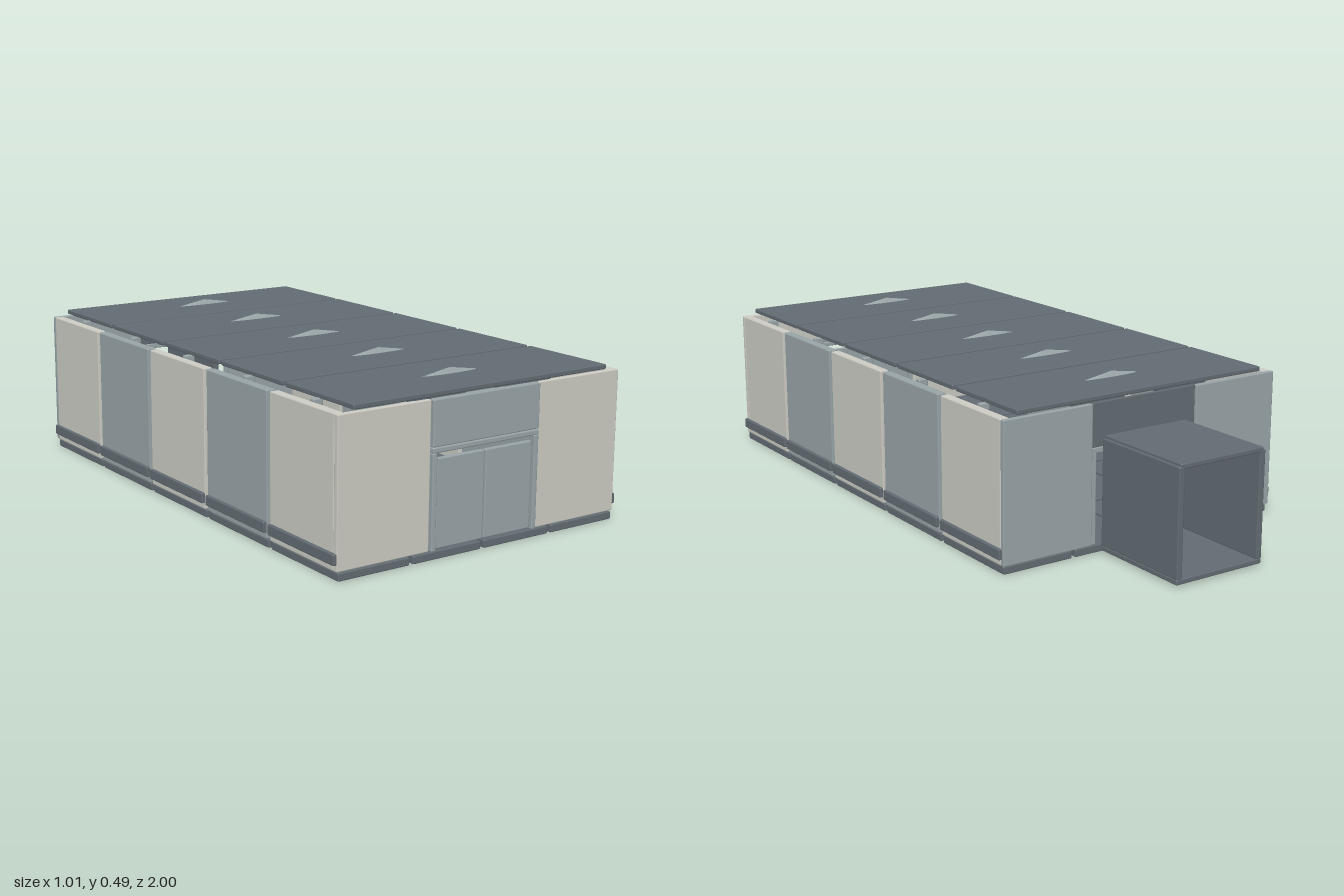
import * as THREE from 'three';
import { RoundedBoxGeometry } from 'three/addons/geometries/RoundedBoxGeometry.js';

const mat = (name, color) => {
  const m = new THREE.MeshStandardMaterial({ color });
  m.name = name;
  return m;
};

export function createModel() {
  const root = new THREE.Group();
  root.name = 'modularHall';
  const cream = mat('cream panel', 0xcbcbc3);
  const grey = mat('blue grey panel', 0x98a3a6);
  const slate = mat('dark slate', 0x626b72);

  // Softly bevelled block given by its min and max on each axis
  const block = (parent, name, material, [x0, x1], [y0, y1], [z0, z1]) => {
    const w = x1 - x0, h = y1 - y0, d = z1 - z0;
    const r = Math.min(0.004, 0.25 * Math.min(w, h, d));
    const mesh = new THREE.Mesh(new RoundedBoxGeometry(w, h, d, 1, r), material);
    mesh.position.set((x0 + x1) / 2, (y0 + y1) / 2, (z0 + z1) / 2);
    mesh.name = name;
    parent.add(mesh);
    return mesh;
  };
  // Same block on both sides of the centre line
  const pair = (parent, name, material, [x0, x1], y, z) => {
    block(parent, name + 'Left', material, [x0, x1], y, z);
    block(parent, name + 'Right', material, [-x1, -x0], y, z);
  };

  // Five repeating bays, front to back
  const pitch = 0.332, half = 0.159;
  for (let i = 0; i < 5; i++) {
    const bay = new THREE.Group();
    bay.name = 'bay' + (i + 1);
    root.add(bay);
    const c = 0.832 - i * pitch;
    const z = [c - half, c + half];
    const wallZ = [i === 4 ? -0.646 : z[0], i === 0 ? 0.974 : z[1]];

    // Floor tiles
    for (let t = 0; t < 4; t++) {
      const x = (t - 1.5) * 0.248;
      block(bay, 'floorTile', slate, [x - 0.118, x + 0.118], [0, 0.024], z);
    }
    // Side walls in alternating colours, with outer skirting rails
    pair(bay, 'sideWall', i % 2 ? grey : cream, [0.465, 0.495], [0.026, 0.45], wallZ);
    pair(bay, 'skirtingRail', slate, [0.49, 0.505], [0.045, 0.077], [z[0] + 0.002, z[1] - 0.002]);
    // Roof slab, its bearers and end pins
    block(bay, 'roofSlab', slate, [-0.445, 0.445], [0.455, 0.47], z);
    pair(bay, 'roofBearer', slate, [0.065, 0.24], [0.44, 0.456], [z[0] + 0.01, z[1] - 0.01]);
    pair(bay, 'roofPin', grey, [0.435, 0.467], [0.435, 0.457], [c - 0.01, c + 0.01]);
    // Low ridge cap
    const cap = new THREE.Mesh(new THREE.ConeGeometry(1, 1, 12), grey);
    cap.scale.set(0.105, 0.017, 0.011);
    cap.position.set(0, 0.4775, c);
    cap.name = 'ridgeCap';
    bay.add(cap);
  }

  // End wall with a framed central opening
  const endWall = (name, panel, lintel, [z0, z1], bump) => {
    const g = new THREE.Group();
    g.name = name;
    root.add(g);
    const fz = bump > 0 ? [z0, z1 + bump] : [z0 - bump, z1];
    pair(g, 'endPanel', panel, [0.19, 0.495], [0.026, 0.45], [z0, z1]);
    block(g, 'lintel', lintel, [-0.188, 0.188], [0.318, 0.45], fz);
    block(g, 'frameHead', grey, [-0.188, 0.188], [0.301, 0.317], fz);
    pair(g, 'framePost', grey, [0.172, 0.188], [0.026, 0.302], fz);
    return g;
  };
  const front = endWall('frontWall', cream, grey, [0.974, 0.991], 0.008);
  endWall('backWall', grey, slate, [-0.662, -0.646], -0.006);

  // Double doors
  pair(front, 'door', grey, [0.002, 0.169], [0.03, 0.285], [0.976, 0.992]);

  // Open rear passage
  const passage = new THREE.Group();
  passage.name = 'rearPassage';
  root.add(passage);
  const pz = [-1, -0.66];
  block(passage, 'passageFloor', slate, [-0.155, 0.155], [0.006, 0.022], pz);
  pair(passage, 'passageWall', slate, [0.135, 0.155], [0.021, 0.344], pz);
  block(passage, 'passageRoof', slate, [-0.148, 0.148], [0.336, 0.352], pz);

  return root;
}
